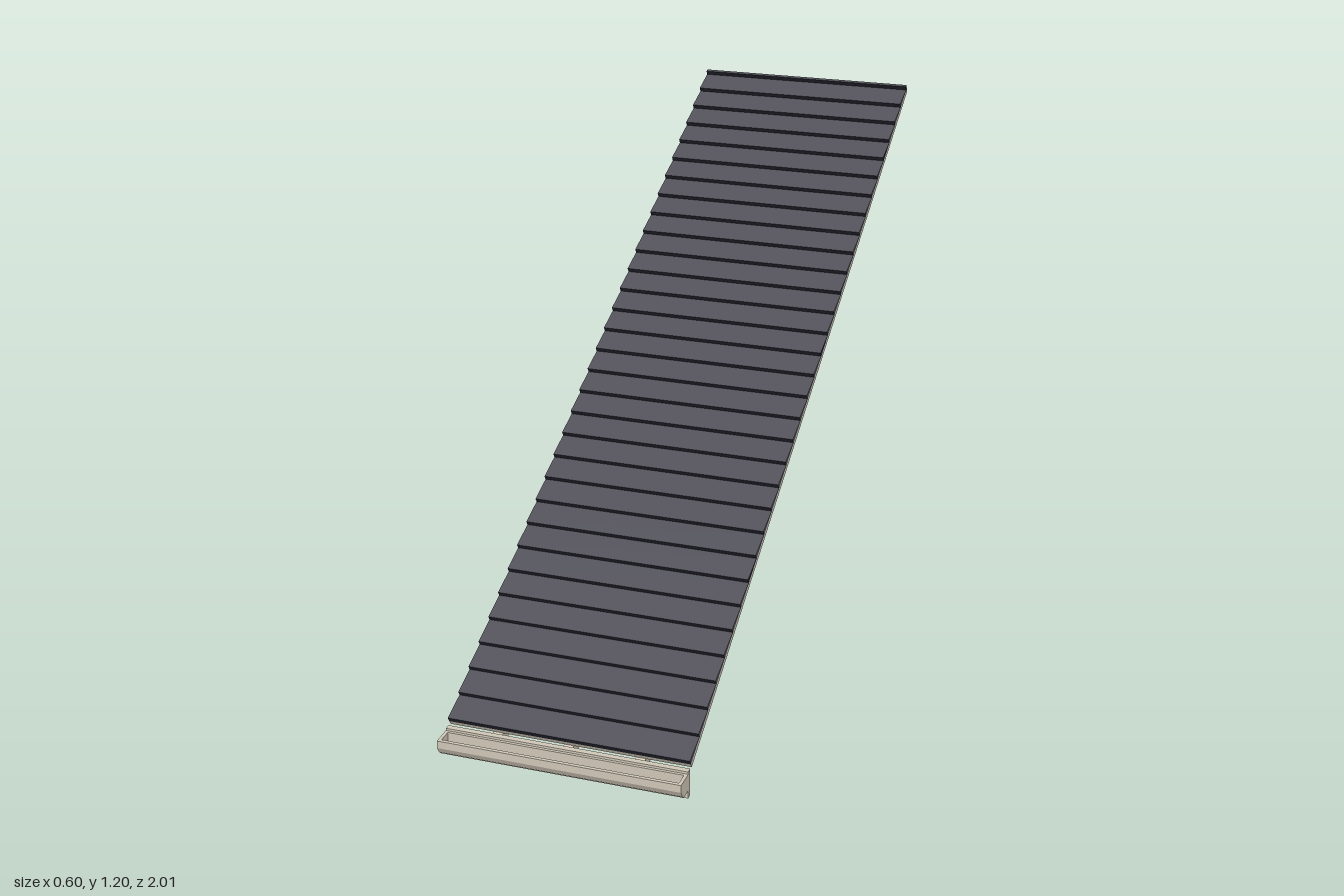
import * as THREE from 'three';

const WIDTH = 0.6;
const PITCH = Math.PI / 6;
const LENGTH = 2.2286; // along the slope
const COURSE = 0.0716; // exposed length of one shingle row
const BUTT = 0.0145, HEAD = 0.002; // shingle thickness at its lower and upper edge
const EAVE = { y: 0.078, z: 0.93 };

const material = (name, color) => {
  const m = new THREE.MeshStandardMaterial({ color });
  m.name = name;
  return m;
};

// Extrudes a (z, y) outline along x, centred on x = 0
function extrudeAlongX(points, width) {
  const shape = new THREE.Shape(points.map(([z, y]) => new THREE.Vector2(z, y)));
  return new THREE.ExtrudeGeometry(shape, { depth: width, bevelEnabled: false })
    .translate(0, 0, -width / 2)
    .rotateY(-Math.PI / 2);
}

// Tapered row: thick at the lower edge, thin under the next row
function shingleGeometry(length) {
  const geo = new THREE.BoxGeometry(WIDTH, 1, length);
  const p = geo.attributes.position;
  const head = BUTT - (BUTT - HEAD) * Math.min(1, length / COURSE);
  for (let i = 0; i < p.count; i++) {
    const top = p.getZ(i) > 0 ? BUTT : head;
    p.setY(i, p.getY(i) > 0 ? top : 0);
  }
  geo.computeVertexNormals();
  return geo;
}

export function createModel() {
  const model = new THREE.Group();
  model.name = 'roofSection';
  const slate = material('slate', 0x52515a);
  const darkSlate = material('dark slate', 0x23222d);
  const cream = material('cream trim', 0xd0c8b8);

  const add = (parent, name, geo, mat) => {
    const mesh = new THREE.Mesh(geo, mat);
    mesh.name = name;
    parent.add(mesh);
    return mesh;
  };

  // Sloping roof plane: local -z runs up the slope
  const slope = new THREE.Group();
  slope.name = 'roofSlope';
  slope.position.set(0, EAVE.y, EAVE.z);
  slope.rotation.x = PITCH;
  model.add(slope);

  add(slope, 'deck', new THREE.BoxGeometry(WIDTH, 0.012, LENGTH), cream)
    .position.set(0, -0.006, -LENGTH / 2);

  // Shingle rows, with dark lower edges and a dark end on every tenth row
  const rows = Math.ceil(LENGTH / COURSE);
  for (let i = 0; i < rows; i++) {
    const start = i * COURSE;
    const length = Math.min(COURSE, LENGTH - start);
    const end = i % 10 === 7 ? darkSlate : slate;
    add(slope, 'shingleRow', shingleGeometry(length), [end, end, slate, slate, darkSlate, slate])
      .position.z = -start - length / 2;
  }

  // Fascia board at the eave
  add(model, 'fascia', new THREE.BoxGeometry(WIDTH, 0.07, 0.015), cream)
    .position.set(0, 0.035, 0.9425);

  // Rafter tails under the deck
  const underside = (z) => 0.065 + Math.tan(PITCH) * (EAVE.z - z);
  const tail = extrudeAlongX(
    [[0.94, 0.02], [0.94, underside(0.94)], [0.79, underside(0.79)], [0.79, 0.105]], 0.024);
  for (const x of [-0.177, 0, 0.177]) add(model, 'rafterTail', tail, cream).position.x = x;

  // Open gutter with a chamfered lower front edge, closed at both ends
  const outer = [[0.95, 0.064], [0.95, 0.021], [0.982, 0.021], [0.992, 0.03], [1.0, 0.045], [1.0, 0.064]];
  const inner = [[0.991, 0.064], [0.991, 0.047], [0.985, 0.035], [0.979, 0.029], [0.957, 0.029], [0.957, 0.064]];
  add(model, 'gutter', extrudeAlongX([...outer, ...inner], WIDTH), cream);
  const cap = extrudeAlongX(outer, 0.008);
  for (const side of [-1, 1]) add(model, 'gutterEnd', cap, cream).position.x = side * (WIDTH / 2 - 0.0035);

  return model;
}
